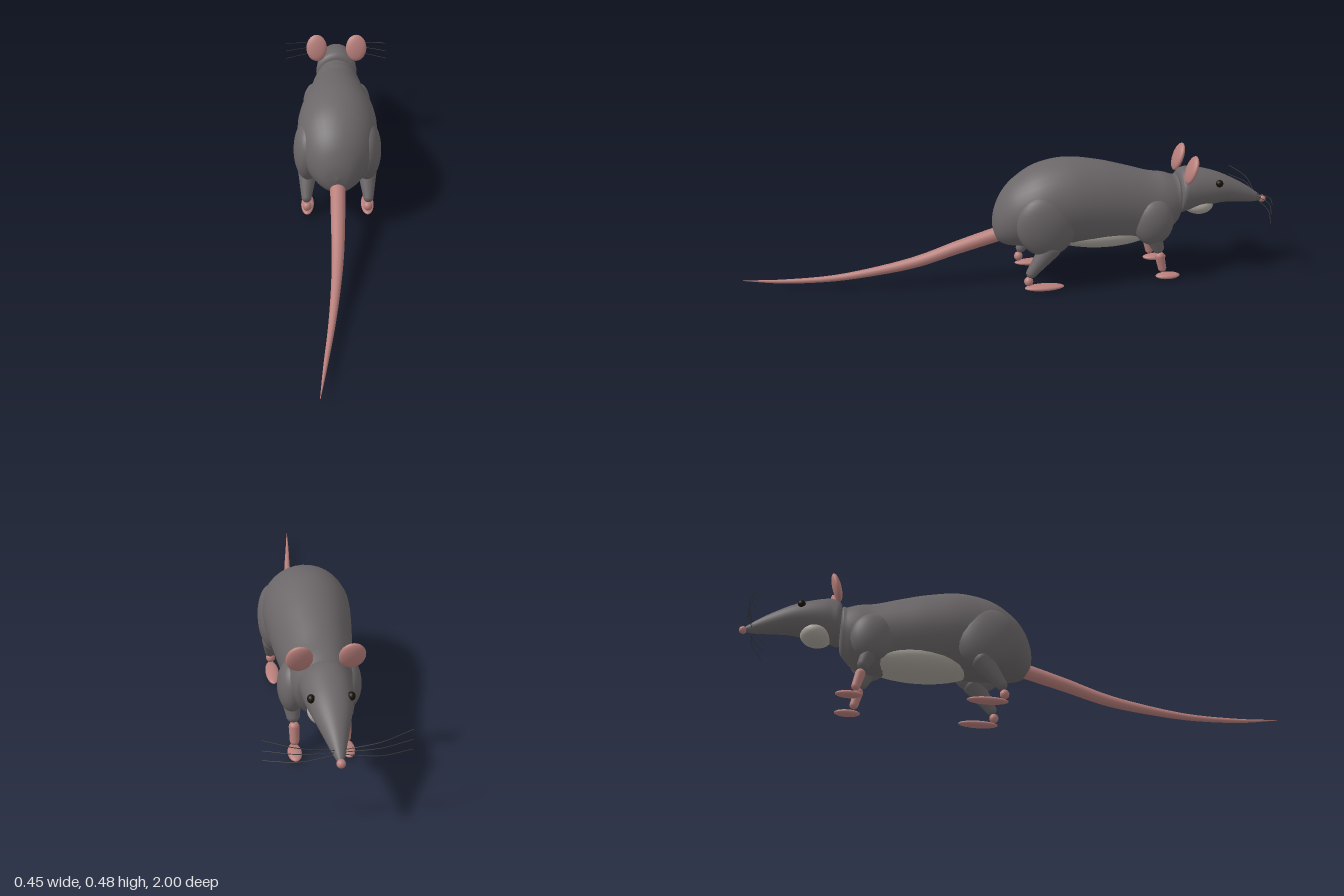
import * as THREE from 'three';

export function createModel() {
  const mat = (name, color) => {
    const m = new THREE.MeshStandardMaterial({ color });
    m.name = name;
    return m;
  };
  const fur = mat('grey fur', 0x6b6668);
  const paleFur = mat('pale fur', 0xaca69e);
  const skin = mat('pink skin', 0xb87f7b);
  const eyeBlack = mat('eye black', 0x17120a);
  const whiskerDark = mat('whisker dark', 0x3a3838);

  const model = new THREE.Group();
  model.name = 'rat';
  const add = (name, geometry, material, parent = model) => {
    const mesh = new THREE.Mesh(geometry, material);
    mesh.name = name;
    parent.add(mesh);
    return mesh;
  };

  // Smooth skin through oval stations [z, x, y, halfWidth, halfHeight], z falling
  function loft(stations, steps = 48, sides = 32) {
    const centre = new THREE.CatmullRomCurve3(stations.map(s => new THREE.Vector3(s[1], s[2], s[0])), false, 'catmullrom');
    const size = new THREE.CatmullRomCurve3(stations.map(s => new THREE.Vector3(s[3], s[4], 0)), false, 'catmullrom');
    const pos = [], idx = [];
    for (let i = 0; i <= steps; i++) {
      const c = centre.getPoint(i / steps), r = size.getPoint(i / steps);
      for (let j = 0; j < sides; j++) {
        const a = (j / sides) * Math.PI * 2;
        pos.push(c.x + Math.max(r.x, 0) * Math.cos(a), c.y + Math.max(r.y, 0) * Math.sin(a), c.z);
        if (i === steps) continue;
        const p = i * sides + j, q = i * sides + (j + 1) % sides;
        idx.push(p, p + sides, q, q, p + sides, q + sides);
      }
    }
    const g = new THREE.BufferGeometry();
    g.setAttribute('position', new THREE.Float32BufferAttribute(pos, 3));
    g.setIndex(idx);
    g.computeVertexNormals();
    return g;
  }

  const ball = (name, material, p, r, parent = model, tiltX = 0) => {
    const mesh = add(name, new THREE.SphereGeometry(1, 32, 20), material, parent);
    mesh.position.set(...p);
    mesh.scale.set(...r);
    mesh.rotation.x = tiltX;
    return mesh;
  };

  // Tapered, rounded limb segment from a to b
  function limb(name, material, a, b, ra, rb, parent) {
    const A = new THREE.Vector3(...a), B = new THREE.Vector3(...b);
    const len = A.distanceTo(B), pts = [];
    for (let k = 0; k <= 8; k++) {
      const t = -Math.PI / 2 + (k / 8) * Math.PI / 2;
      pts.push(new THREE.Vector2(Math.cos(t) * ra, Math.sin(t) * ra));
    }
    for (let k = 0; k <= 8; k++) {
      const t = (k / 8) * Math.PI / 2;
      pts.push(new THREE.Vector2(Math.cos(t) * rb, len + Math.sin(t) * rb));
    }
    const mesh = add(name, new THREE.LatheGeometry(pts, 24), material, parent);
    mesh.position.copy(A);
    mesh.quaternion.setFromUnitVectors(new THREE.Vector3(0, 1, 0), B.sub(A).normalize());
  }

  // Torso, with the rump toward +z
  add('body', loft([
    [0.07, 0, 0.235, 0, 0], [0.06, 0, 0.238, 0.05, 0.055], [0.03, 0, 0.258, 0.09, 0.1],
    [-0.02, 0, 0.28, 0.125, 0.13], [-0.1, 0, 0.302, 0.15, 0.155], [-0.21, 0, 0.313, 0.153, 0.165],
    [-0.33, 0, 0.303, 0.14, 0.16], [-0.43, 0, 0.288, 0.125, 0.15], [-0.52, 0, 0.275, 0.112, 0.137],
    [-0.58, 0, 0.278, 0.103, 0.125], [-0.62, 0, 0.29, 0.09, 0.1], [-0.64, 0, 0.305, 0.075, 0.08],
    [-0.645, 0, 0.31, 0, 0],
  ], 72), fur);
  ball('belly', paleFur, [0, 0.19, -0.35], [0.105, 0.065, 0.22]);

  // Head, chin and nose
  add('head', loft([
    [-0.638, 0, 0.322, 0, 0], [-0.642, 0, 0.323, 0.078, 0.076], [-0.68, 0, 0.335, 0.083, 0.085],
    [-0.75, 0, 0.335, 0.075, 0.072], [-0.82, 0, 0.328, 0.06, 0.055], [-0.9, 0, 0.305, 0.036, 0.037],
    [-0.95, 0, 0.287, 0.02, 0.022], [-0.98, 0, 0.277, 0.008, 0.008], [-0.983, 0, 0.276, 0, 0],
  ], 56), fur);
  ball('chin', paleFur, [0, 0.274, -0.725], [0.066, 0.042, 0.06]);
  ball('nose', skin, [0, 0.274, -0.986], [0.014, 0.014, 0.014]);

  // Tail, from the tip back to the rump
  add('tail', loft([
    [1, -0.06, 0.04, 0.001, 0.001], [0.85, -0.045, 0.033, 0.007, 0.008], [0.67, -0.025, 0.042, 0.012, 0.012],
    [0.5, -0.01, 0.068, 0.017, 0.017], [0.35, -0.002, 0.1, 0.022, 0.022], [0.2, 0, 0.148, 0.026, 0.026],
    [0.04, 0, 0.195, 0.029, 0.029],
  ], 48, 20), skin);

  for (const s of [1, -1]) {
    const side = s > 0 ? 'left' : 'right';
    const group = name => {
      const g = new THREE.Group();
      g.name = side + name;
      model.add(g);
      return g;
    };

    // Ears and eyes
    ball(side + 'Ear', skin, [s * 0.083, 0.434, -0.665], [0.043, 0.055, 0.016], model, -0.3);
    ball(side + 'Eye', eyeBlack, [s * 0.062, 0.367, -0.785], [0.012, 0.014, 0.014]);

    // Whiskers
    const whiskers = group('Whiskers');
    [[0.3, 0.322, 0.336], [0.291, 0.3, 0.298], [0.282, 0.272, 0.262]].forEach(([y0, y1, y2]) => {
      const curve = new THREE.CatmullRomCurve3([
        new THREE.Vector3(s * 0.015, y0, -0.955),
        new THREE.Vector3(s * 0.12, y1, -0.962),
        new THREE.Vector3(s * 0.225, y2, -0.93),
      ]);
      add('whisker', new THREE.TubeGeometry(curve, 16, 0.0013, 6), whiskerDark, whiskers);
    });

    // Hind leg
    const hind = group('HindLeg');
    ball('thigh', fur, [s * 0.113, 0.26, -0.115], [0.055, 0.12, 0.11], hind, 0.25);
    limb('shin', fur, [s * 0.115, 0.17, -0.13], [s * 0.12, 0.078, -0.06], 0.04, 0.02, hind);
    ball('ankle', skin, [s * 0.118, 0.043, -0.05], [0.017, 0.018, 0.017], hind);
    ball('foot', skin, [s * 0.118, 0.015, -0.11], [0.025, 0.012, 0.075], hind);

    // Front leg
    const front = group('FrontLeg');
    ball('shoulder', fur, [s * 0.093, 0.24, -0.527], [0.047, 0.09, 0.076], front);
    limb('elbow', fur, [s * 0.092, 0.17, -0.535], [s * 0.09, 0.135, -0.55], 0.03, 0.023, front);
    limb('forearm', skin, [s * 0.088, 0.097, -0.56], [s * 0.088, 0.048, -0.572], 0.018, 0.016, front);
    ball('frontFoot', skin, [s * 0.09, 0.015, -0.595], [0.024, 0.012, 0.047], front);
  }
  return model;
}
